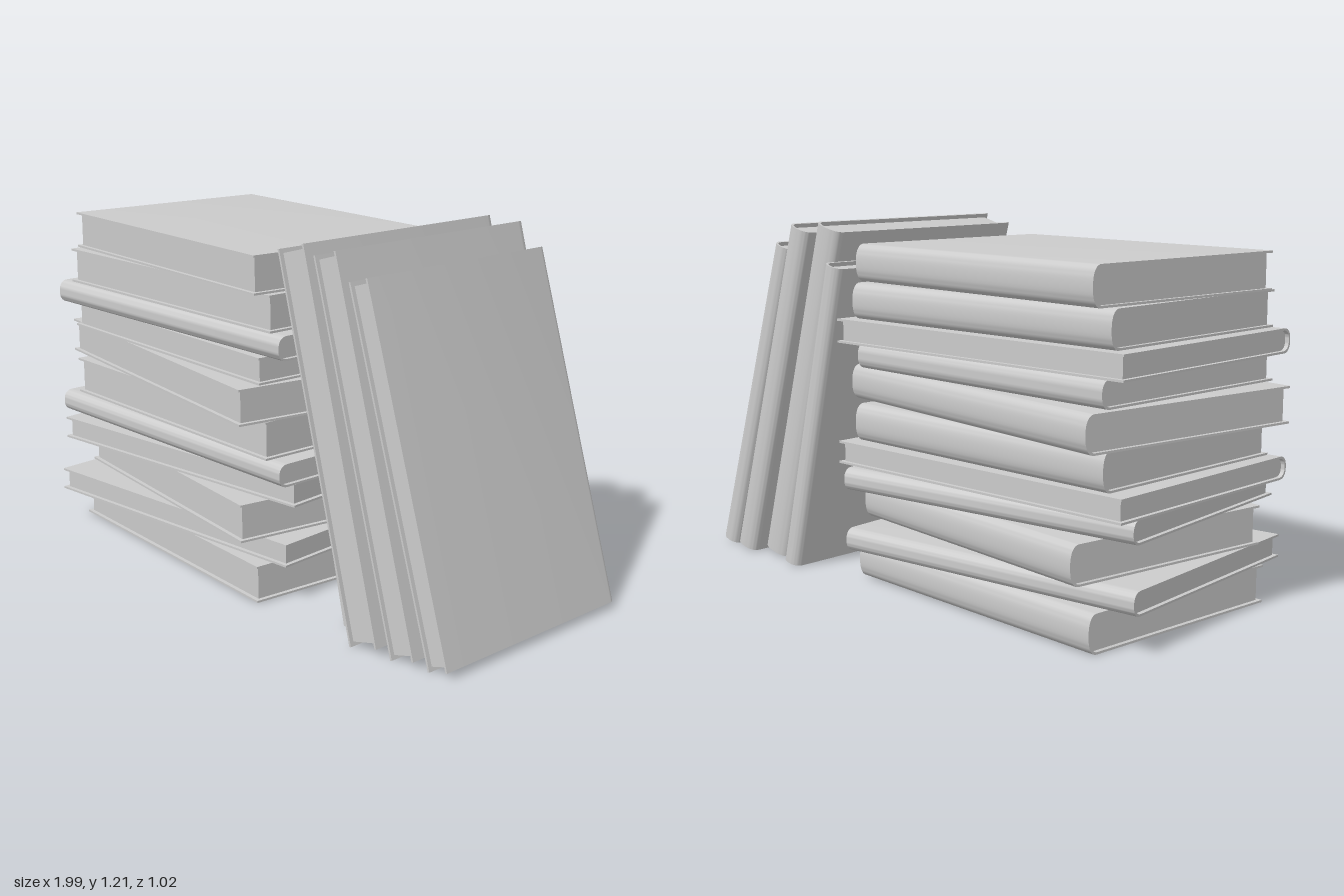
import * as THREE from 'three';
import { toCreasedNormals } from 'three/addons/utils/BufferGeometryUtils.js';

const material = new THREE.MeshStandardMaterial({ color: 0xcccccc });
const BOARD = 0.007; // cover thickness
const INSET = 0.014; // how far the pages sit inside the cover
const BULGE = 0.035; // depth of the rounded spine

// U-shaped line from the upper fore edge, round the spine (at -x), to the lower fore edge
function profile(foreEdge, spine, half, bulge) {
  const points = [new THREE.Vector2(foreEdge, half)];
  const steps = 20;
  for (let i = 0; i <= steps; i++) {
    const a = Math.PI / 2 - (i / steps) * Math.PI;
    const s = Math.sin(a);
    points.push(new THREE.Vector2(
      spine + bulge - bulge * Math.pow(Math.max(Math.cos(a), 0), 0.85),
      half * Math.sign(s) * Math.pow(Math.abs(s), 0.85)));
  }
  points.push(new THREE.Vector2(foreEdge, -half));
  return points;
}

// Extrude a cross-section along the book's length, which ends up on x with the spine at -z
function extrude(points, length, name) {
  let geometry = new THREE.ExtrudeGeometry(new THREE.Shape(points), {
    depth: length, bevelEnabled: false,
  });
  geometry.translate(0, 0, -length / 2);
  geometry.rotateY(-Math.PI / 2);
  geometry = toCreasedNormals(geometry, 0.7);
  const mesh = new THREE.Mesh(geometry, material);
  mesh.name = name;
  return mesh;
}

function createBook(length, depth, thickness, name) {
  const book = new THREE.Group();
  book.name = name;
  const d = depth / 2;
  const h = thickness / 2;
  const outer = profile(d, -d, h, BULGE);
  const inner = profile(d, -d + BOARD, h - BOARD, BULGE - BOARD / 2);
  const pages = profile(d - INSET, -d + BOARD, h - BOARD, BULGE - BOARD / 2);
  book.add(extrude([...outer, ...inner.reverse()], length, 'cover'));
  book.add(extrude(pages, length - 2 * INSET, 'pages'));
  return book;
}

export function createModel() {
  const model = new THREE.Group();
  model.name = 'books';

  // Lying books, bottom to top: [y0, y1, length, depth, centre x, turn, spine to the front]
  const stack = [
    [0.005, 0.130, 1.10, 0.80, -0.317, -0.08],
    [0.130, 0.207, 1.15, 0.85, -0.340, 0.08],
    [0.207, 0.335, 1.07, 0.80, -0.315, -0.145],
    [0.335, 0.411, 1.14, 0.83, -0.320, 0.095],
    [0.411, 0.487, 1.215, 0.84, -0.322, 0, true],
    [0.487, 0.613, 1.10, 0.80, -0.320, -0.03],
    [0.613, 0.732, 1.21, 0.84, -0.335, -0.155],
    [0.732, 0.820, 1.10, 0.80, -0.330, -0.05],
    [0.820, 0.900, 1.215, 0.84, -0.322, 0, true],
    [0.900, 1.020, 1.11, 0.80, -0.322, -0.01],
    [1.020, 1.145, 1.10, 0.80, -0.318, -0.08],
  ];
  const pile = new THREE.Group();
  pile.name = 'stackedBooks';
  stack.forEach(([y0, y1, length, depth, x, turn, flipped], i) => {
    const book = createBook(length, depth, y1 - y0, `stackedBook${i + 1}`);
    book.position.set(x, (y0 + y1) / 2, 0);
    book.rotation.y = turn + (flipped ? Math.PI : 0);
    pile.add(book);
  });

  // Leaning books: [lowest corner x, tilt, length, front z, back z, thickness]
  const leaning = [
    [0.515, 0.232, 1.09, 0.355, -0.435, 0.077],
    [0.640, 0.266, 1.22, 0.450, -0.390, 0.119],
    [0.790, 0.282, 1.22, 0.425, -0.415, 0.098],
    [0.920, 0.302, 1.16, 0.400, -0.395, 0.080],
  ];
  const row = new THREE.Group();
  row.name = 'leaningBooks';
  leaning.forEach(([x, tilt, length, front, back, thickness], i) => {
    const book = createBook(length, front - back, thickness, `leaningBook${i + 1}`);
    const c = Math.cos(tilt);
    const s = Math.sin(tilt);
    book.position.set(
      x + (thickness * c - length * s) / 2,
      0.004 + (thickness * s + length * c) / 2,
      (front + back) / 2);
    book.rotation.z = Math.PI / 2 + tilt;
    row.add(book);
  });

  model.add(pile, row);
  return model;
}
